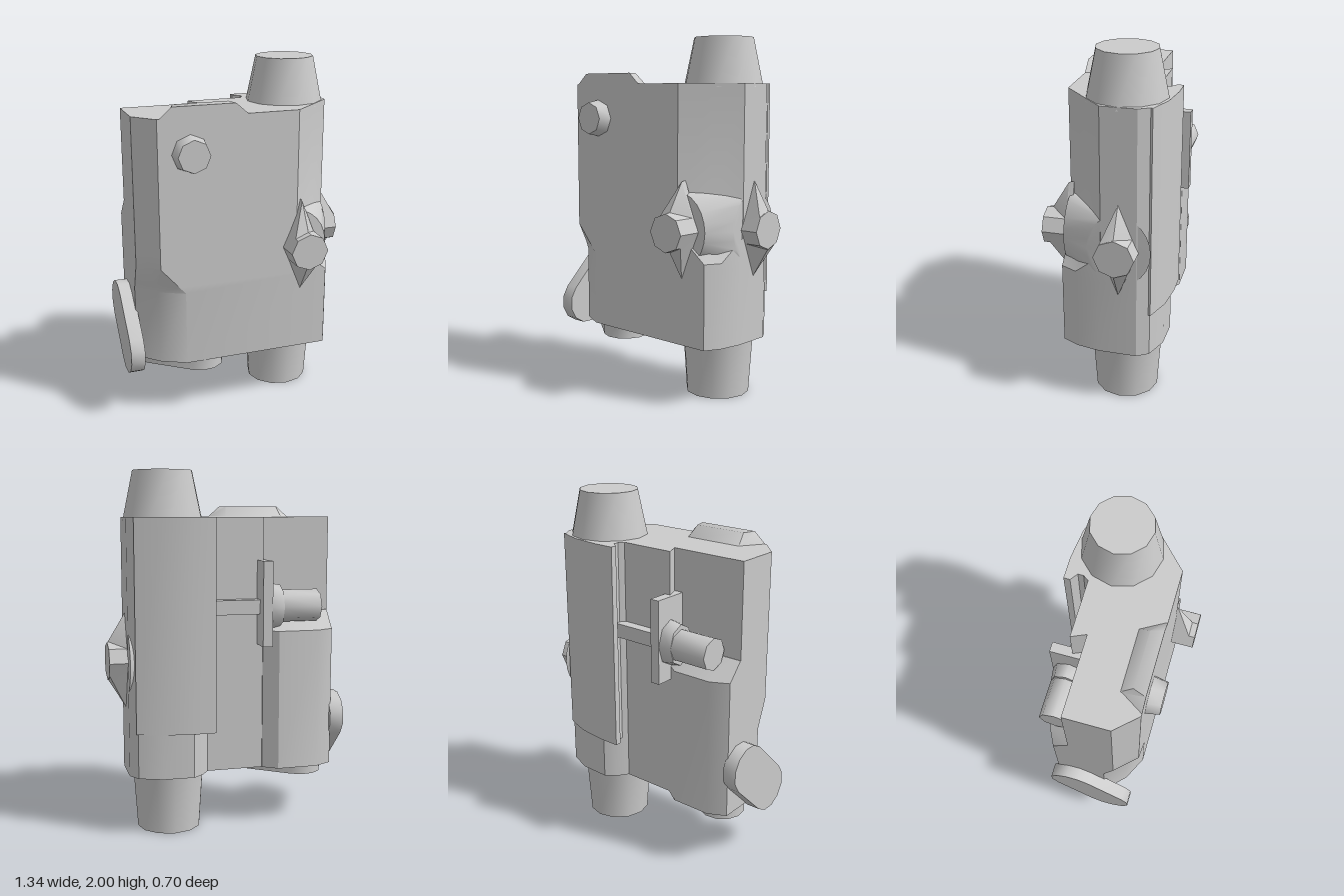
import * as THREE from 'three';
import { toCreasedNormals } from 'three/addons/utils/BufferGeometryUtils.js';
import { ConvexGeometry } from 'three/addons/geometries/ConvexGeometry.js';

const material = new THREE.MeshStandardMaterial({ color: 0xcccccc });

function part(name, geometry, parent, crease = 0.6) {
  const mesh = new THREE.Mesh(toCreasedNormals(geometry, crease), material);
  mesh.name = name;
  parent.add(mesh);
  return mesh;
}

// Solid through matching [x, z] outlines stacked at rising heights
function loft(levels) {
  const pos = [];
  const n = levels[0].ring.length;
  const rings = levels.map(({ y, ring }) => {
    const v = ring.map(([x, z]) => new THREE.Vector2(x, z));
    if (THREE.ShapeUtils.area(v) < 0) v.reverse();
    return { y, v };
  });
  const put = (...pts) => pts.forEach(([r, i]) => pos.push(r.v[i].x, r.y, r.v[i].y));
  for (let k = 0; k < rings.length - 1; k++) {
    const a = rings[k], b = rings[k + 1];
    for (let i = 0; i < n; i++) {
      const j = (i + 1) % n;
      put([a, i], [b, i], [a, j]);
      put([a, j], [b, i], [b, j]);
    }
  }
  [[rings[0], false], [rings[rings.length - 1], true]].forEach(([r, top]) => {
    THREE.ShapeUtils.triangulateShape(r.v, []).forEach(([i, j, k]) => {
      const positive = THREE.ShapeUtils.area([r.v[i], r.v[j], r.v[k]]) > 0;
      if (positive === top) put([r, i], [r, k], [r, j]);
      else put([r, i], [r, j], [r, k]);
    });
  });
  const g = new THREE.BufferGeometry();
  g.setAttribute('position', new THREE.Float32BufferAttribute(pos, 3));
  g.computeVertexNormals();
  return g;
}

const prism = (ring, y0, y1) => loft([{ y: y0, ring }, { y: y1, ring }]);

// Rounded slot outline between two centres
function slot([ax, ay], [bx, by], r, steps = 6) {
  const dir = Math.atan2(by - ay, bx - ax);
  const ring = [];
  [[ax, ay, dir + Math.PI / 2], [bx, by, dir - Math.PI / 2]].forEach(([x, y, start]) => {
    for (let i = 0; i <= steps; i++) {
      const t = start + (i / steps) * Math.PI;
      ring.push([x + r * Math.cos(t), y + r * Math.sin(t)]);
    }
  });
  return ring;
}

// Main outline; left and right blend the front corners from lower to upper form
function outline(left, right) {
  const mix = THREE.MathUtils.lerp;
  return [
    [-0.6, -0.15], [-0.155, -0.15], [-0.19, -0.23], [0.13, -0.23], [0.17, -0.29],
    [0.23, -0.335], [0.4, -0.33], [0.53, -0.28], [0.57, -0.215],
    [0.57, mix(0, -0.02, right)],
    [mix(0.545, 0.44, right), mix(0.13, 0.1, right)],
    [mix(0.5, 0.31, right), 0.22],
    [mix(-0.35, -0.49, left), 0.22],
    [mix(-0.49, -0.545, left), mix(0.15, 0.16, left)],
    [-0.6, mix(0.04, 0.1, left)],
  ];
}

// Knob pointing up its own +y: eight sides, with two tips drawn out along z at the base
function finKnob(name, parent, height) {
  const ring = (tip) => [
    [0.11, 0], [0.076, 0.076], [0, tip], [-0.076, 0.076],
    [-0.11, 0], [-0.076, -0.076], [0, -tip], [0.076, -0.076],
  ];
  return part(name, loft([
    { y: -0.03, ring: ring(0.27) },
    { y: 0, ring: ring(0.265) },
    { y: 0.095, ring: ring(0.108) },
    { y: height, ring: ring(0.105) },
  ]), parent, 0.5);
}

export function createModel() {
  const model = new THREE.Group();
  model.name = 'opticHousing';

  // Housing with blended front corners
  part('body', loft([
    [0.33, 0, 0], [0.76, 0, 0], [0.8, 0.25, 0], [0.92, 1, 0.8], [1, 1, 1], [1.75, 1, 1],
  ].map(([y, l, r]) => ({ y, ring: outline(l, r) }))), model, 0.5);

  // Lower rear bulge with a sloped top
  const bulge = [
    [-0.6, -0.1], [-0.6, -0.24], [-0.5, -0.29], [-0.27, -0.29], [-0.19, -0.235], [-0.17, -0.1],
  ];
  part('rearBulge', loft([
    { y: 0.33, ring: bulge },
    { y: 1.12, ring: bulge },
    { y: 1.22, ring: bulge.map(([x, z]) => [x, Math.max(z, -0.15 + 0.02 * (z + 0.1))]) },
  ]), model);

  // Hooked rear rail
  part('rearRail', prism([
    [0.15, -0.2], [0.15, -0.29], [0.11, -0.32], [0.11, -0.355], [0.23, -0.355],
    [0.4, -0.335], [0.54, -0.285], [0.5, -0.2],
  ], 0.58, 1.75), model, 0.5);

  // Rounded corner bridge between the two knob seats
  const seats = [];
  for (let i = 0; i < 24; i++) {
    const c = Math.cos((i / 24) * Math.PI * 2), s = Math.sin((i / 24) * Math.PI * 2);
    seats.push(new THREE.Vector3(0.3 + 0.195 * c, 0.965 + 0.21 * s, 0.21));
    seats.push(new THREE.Vector3(0.568, 0.965 + 0.2 * s, -0.115 + 0.175 * c));
  }
  part('knobBridge', new ConvexGeometry(seats), model);

  // Tapered tube ends
  part('upperTube', new THREE.CylinderGeometry(0.165, 0.222, 0.27, 12), model)
    .position.set(0.35, 1.865, -0.11);
  part('lowerTube', new THREE.CylinderGeometry(0.203, 0.18, 0.35, 12), model)
    .position.set(0.33, 0.175, -0.105);

  // Bevelled plate on top
  part('topPlate', loft([
    { y: 1.74, ring: [[-0.49, 0.22], [0.025, 0.22], [-0.055, 0.08], [-0.4, 0.08]] },
    { y: 1.81, ring: [[-0.41, 0.22], [-0.055, 0.22], [-0.075, 0.15], [-0.385, 0.15]] },
  ]), model, 0.9);

  // Front button
  const button = part('frontButton', new THREE.CylinderGeometry(0.09, 0.109, 0.1, 8), model, 0.9);
  button.rotation.x = Math.PI / 2;
  button.position.set(-0.31, 1.555, 0.245);

  // Adjustment knobs on the front and the left side
  const front = finKnob('frontKnob', model, 0.13);
  front.rotation.x = Math.PI / 2;
  front.position.set(0.34, 0.965, 0.22);
  const side = finKnob('sideKnob', model, 0.1);
  side.rotation.set(Math.PI / 2, 0, -Math.PI / 2);
  side.position.set(0.57, 0.965, -0.115);

  // Slanted rounded covers on the side and underneath
  const sideCover = part('sideCover',
    prism(slot([-0.6, -0.135], [-0.4, 0.07], 0.138), -0.67, -0.59), model);
  sideCover.rotation.z = -Math.PI / 2;
  sideCover.position.y = 0;
  sideCover.geometry.computeBoundingBox();
  part('bottomCover', prism(slot([-0.46, -0.09], [-0.23, 0.085], 0.13), 0.262, 0.34), model);

  // Rear lever: bar, plate, collar and rod
  const lever = new THREE.Group();
  lever.name = 'rearLever';
  lever.position.set(0, 1.26, -0.25);
  part('leverBar', new THREE.BoxGeometry(0.36, 0.08, 0.06), lever).position.z = -0.01;
  part('leverPlate', new THREE.BoxGeometry(0.055, 0.47, 0.2), lever).position.set(-0.183, 0.02, 0);
  const collar = part('leverCollar', new THREE.CylinderGeometry(0.1, 0.09, 0.075, 8), lever, 0.9);
  collar.rotation.z = -Math.PI / 2;
  collar.position.x = -0.245;
  collar.scale.x = 1.3;
  const rod = part('leverRod', new THREE.CylinderGeometry(0.09, 0.09, 0.25, 8), lever, 0.9);
  rod.rotation.z = Math.PI / 2;
  rod.position.x = -0.375;
  model.add(lever);

  return model;
}
